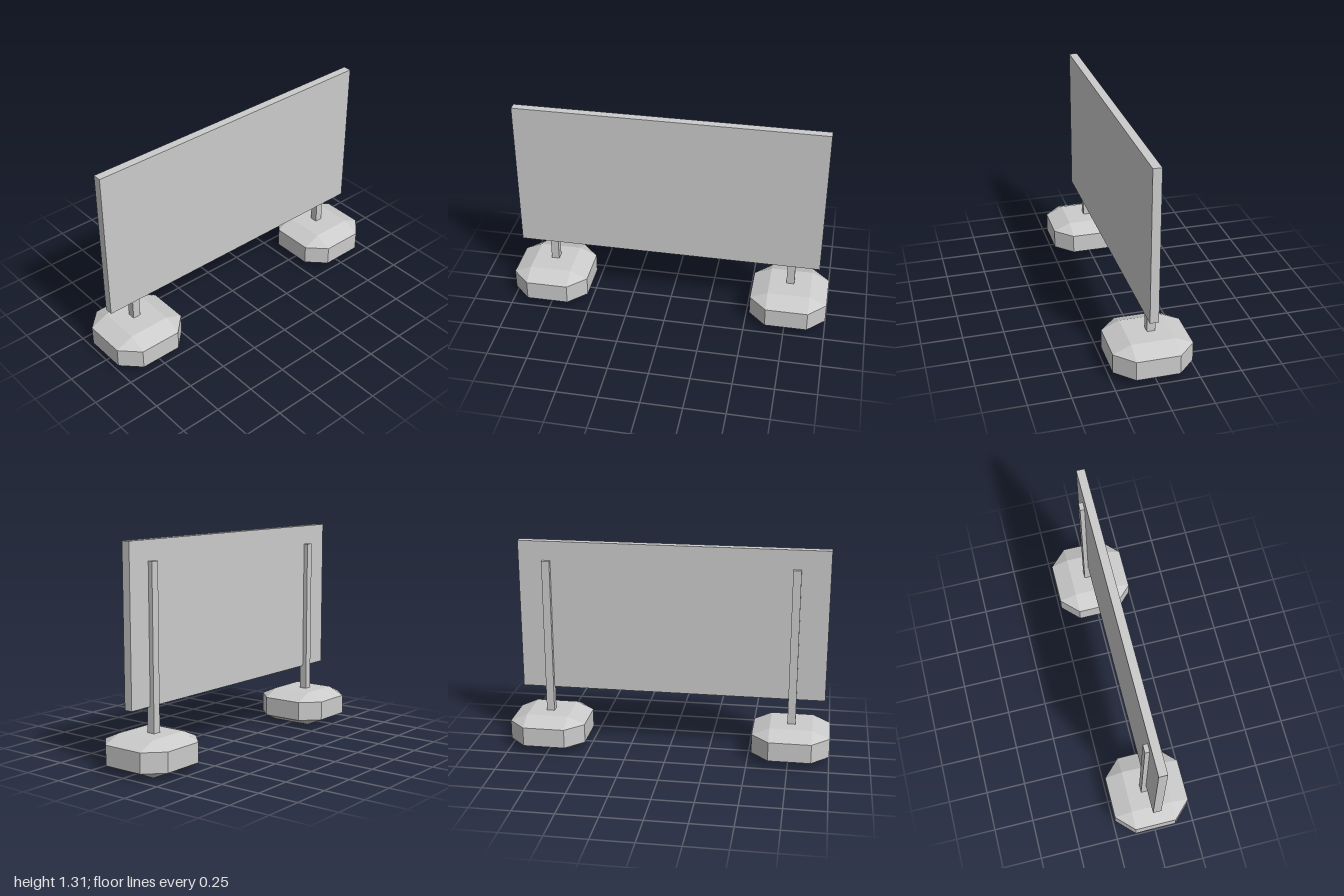
import * as THREE from 'three';
import { ConvexGeometry } from 'three/addons/geometries/ConvexGeometry.js';

const material = new THREE.MeshStandardMaterial({ color: 0xcccccc, flatShading: true });

function box(name, size, position) {
  const mesh = new THREE.Mesh(new THREE.BoxGeometry(...size), material);
  mesh.name = name;
  mesh.position.set(...position);
  return mesh;
}

// Box with every edge chamfered: each corner becomes three points
function chamferedBox(half, inner) {
  const points = [];
  for (const sx of [-1, 1]) for (const sy of [-1, 1]) for (const sz of [-1, 1]) {
    for (let axis = 0; axis < 3; axis++) {
      const c = inner.map((v, i) => (i === axis ? half[i] : v));
      points.push(new THREE.Vector3(sx * c[0], sy * c[1], sz * c[2]));
    }
  }
  return new ConvexGeometry(points);
}

export function createModel() {
  const model = new THREE.Group();
  model.name = 'signBoard';

  // Flat board, slightly off centre in front of the posts
  model.add(box('board', [0.052, 0.94, 1.898], [0.011, 1.839 - 1, 0.012]));

  // Weighted foot and post at each end
  const footGeometry = chamferedBox([0.238, 0.108, 0.238], [0.13, 0.06, 0.13]);
  for (const [side, z] of [['front', 0.762], ['back', -0.762]]) {
    const foot = new THREE.Mesh(footGeometry, material);
    foot.name = side + 'Foot';
    foot.position.set(0, 0.108, z);
    model.add(foot);
    model.add(box(side + 'Post', [0.049, 0.99, 0.049], [-0.018, 0.695, z]));
  }
  return model;
}
